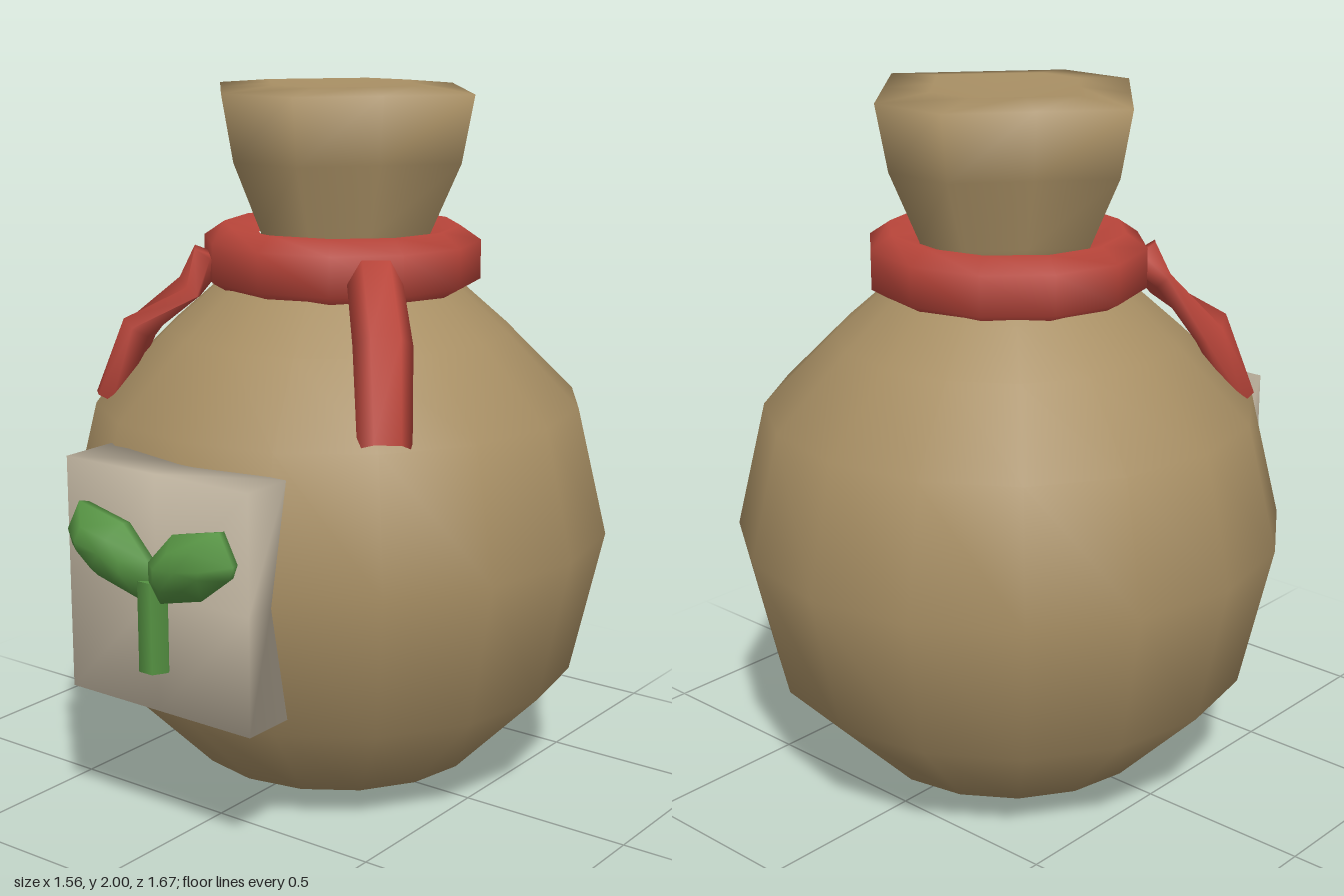
import * as THREE from 'three';
import { mergeVertices } from 'three/addons/utils/BufferGeometryUtils.js';

const V = (x, y, z) => new THREE.Vector3(x, y, z);

// Skin over rings of points (counter-clockwise seen from the last ring), capped by two points
function loft(rings, start, end) {
  const n = rings[0].length;
  const pos = [...rings.flat(), start, end].flatMap((p) => [p.x, p.y, p.z]);
  const s = n * rings.length, last = n * (rings.length - 1), idx = [];
  for (let i = 0; i < n; i++) {
    const j = (i + 1) % n;
    for (let r = 0; r < last; r += n) idx.push(r + i, r + j, r + n + j, r + i, r + n + j, r + n + i);
    idx.push(j, i, s, last + i, last + j, s + 1);
  }
  const g = new THREE.BufferGeometry();
  g.setAttribute('position', new THREE.Float32BufferAttribute(pos, 3));
  g.setIndex(idx);
  g.computeVertexNormals();
  return g;
}

const lathe = (profile, sides) =>
  new THREE.LatheGeometry(profile.map(([x, y]) => new THREE.Vector2(x, y)), sides);

// Flattened strip along a path; each step is [x, y, z, half width, half thickness, twist]
function ribbon(steps, side) {
  const pts = steps.map(([x, y, z]) => V(x, y, z));
  const rings = steps.map(([, , , w, h, twist], k) => {
    const dir = pts[Math.min(k + 1, pts.length - 1)].clone().sub(pts[Math.max(k - 1, 0)]).normalize();
    const across = side.clone().addScaledVector(dir, -side.dot(dir)).normalize().applyAxisAngle(dir, twist);
    const up = dir.clone().cross(across);
    return Array.from({ length: 6 }, (_, i) => {
      const a = (i * Math.PI) / 3;
      return pts[k].clone().addScaledVector(across, w * Math.cos(a)).addScaledVector(up, h * Math.sin(a));
    });
  });
  const n = pts.length;
  return loft(rings, pts[0], pts[n - 1].clone().lerp(pts[n - 2], 0.15));
}

export function createModel() {
  const model = new THREE.Group();
  const mat = (name, color) => {
    const m = new THREE.MeshStandardMaterial({ color });
    m.name = name;
    return m;
  };
  const burlap = mat('burlap', 0xa88f64);
  const red = mat('red cloth', 0xb9453a);
  const paper = mat('paper', 0xc9bda8);
  const green = mat('leaf green', 0x559242);
  const add = (name, geometry, material, parent = model) => {
    const mesh = new THREE.Mesh(geometry, material);
    mesh.name = name;
    parent.add(mesh);
    return mesh;
  };

  // Round sack body, pressed flat behind the label
  const sack = lathe([[0, 0.005], [0.425, 0.065], [0.69, 0.335], [0.782, 0.75],
    [0.695, 1.11], [0.49, 1.315], [0.36, 1.43], [0.27, 1.5]], 16);
  const sp = sack.attributes.position;
  for (let i = 0; i < sp.count; i++) sp.setZ(i, Math.min(sp.getZ(i), 0.715));
  add('sackBody', sack, burlap).position.z = -0.05;

  // Flared neck with a puffed rim and a shallow dip on top
  const hexagon = (x, z, y) => [[1, 0], [0.635, -0.5], [0.27, -1], [-0.27, -1], [-0.635, -0.5],
    [-1, 0], [-0.635, 0.5], [-0.27, 1], [0.27, 1], [0.635, 0.5]]
    .map(([a, b]) => V(0.01 + a * x, y, -0.05 + b * z));
  add('sackNeck', loft([hexagon(0.27, 0.24, 1.45), hexagon(0.3, 0.26, 1.6), hexagon(0.4, 0.345, 1.8),
    hexagon(0.44, 0.38, 1.985), hexagon(0.26, 0.22, 2)], V(0.01, 1.45, -0.05), V(0.01, 1.95, -0.05)), burlap);

  // Tie around the neck
  const tie = add('neckTie', lathe([[0.24, 1.46], [0.33, 1.42], [0.4, 1.46], [0.4, 1.57],
    [0.34, 1.61], [0.24, 1.58]], 12), red);
  tie.position.set(0.01, 0, -0.05);
  tie.scale.z = 0.95;

  // Loose ends of the tie: one smooth, one twisted and pinched
  add('leftTieEnd', ribbon([[0.28, 1.52, 0.17, 0.075, 0.06, 0], [0.41, 1.36, 0.31, 0.08, 0.06, 0],
    [0.485, 1.115, 0.405, 0.072, 0.055, 0]], V(0.7, 0, -0.7)), red);
  add('rightTieEnd', ribbon([[-0.24, 1.53, 0.23, 0.065, 0.045, 0.9], [-0.29, 1.44, 0.26, 0.05, 0.035, -0.6],
    [-0.42, 1.32, 0.33, 0.095, 0.05, 0.3], [-0.47, 1.12, 0.405, 0.075, 0.045, 0]], V(0.7, 0, 0.7)), red);

  // Thick label whose back follows the sack
  let label = new THREE.BoxGeometry(0.62, 0.65, 0.18, 2, 2, 1);
  label.deleteAttribute('normal');
  label.deleteAttribute('uv');
  label = mergeVertices(label);
  const p = label.attributes.position;
  for (let i = 0; i < p.count; i++) {
    const x = p.getX(i), y = p.getY(i);
    const back = 0.67 - Math.abs(y) * 0.2 + (x < -0.1 ? -0.03 : 0);
    p.setXYZ(i, x + 0.01, y + 0.725, p.getZ(i) > 0 ? 0.76 : back);
  }
  label.computeVertexNormals();
  add('label', label, paper);

  // Sprout on the label
  const sprout = new THREE.Group();
  sprout.name = 'sprout';
  model.add(sprout);
  const stem = add('stem', new THREE.CylinderGeometry(0.045, 0.045, 0.25, 6), green, sprout);
  stem.rotation.y = Math.PI / 6;
  stem.position.set(0.01, 0.645, 0.77);
  const outline = [[0, 0.76], [0.04, 0.715], [0.18, 0.75], [0.27, 0.82], [0.285, 0.86],
    [0.24, 0.945], [0.085, 0.91], [0, 0.82]];
  for (const s of [1, -1]) {
    const pts = s > 0 ? outline : [...outline].reverse();
    const ring = (k, z) => pts.map(([x, y]) => V(0.01 + s * (0.13 + (x - 0.13) * k), 0.83 + (y - 0.83) * k, z));
    const centre = (z) => V(0.01 + s * 0.13, 0.83, z);
    add(s > 0 ? 'leftLeaf' : 'rightLeaf',
      loft([ring(0.92, 0.75), ring(1, 0.79), ring(0.55, 0.84)], centre(0.75), centre(0.842)), green, sprout);
  }
  return model;
}
